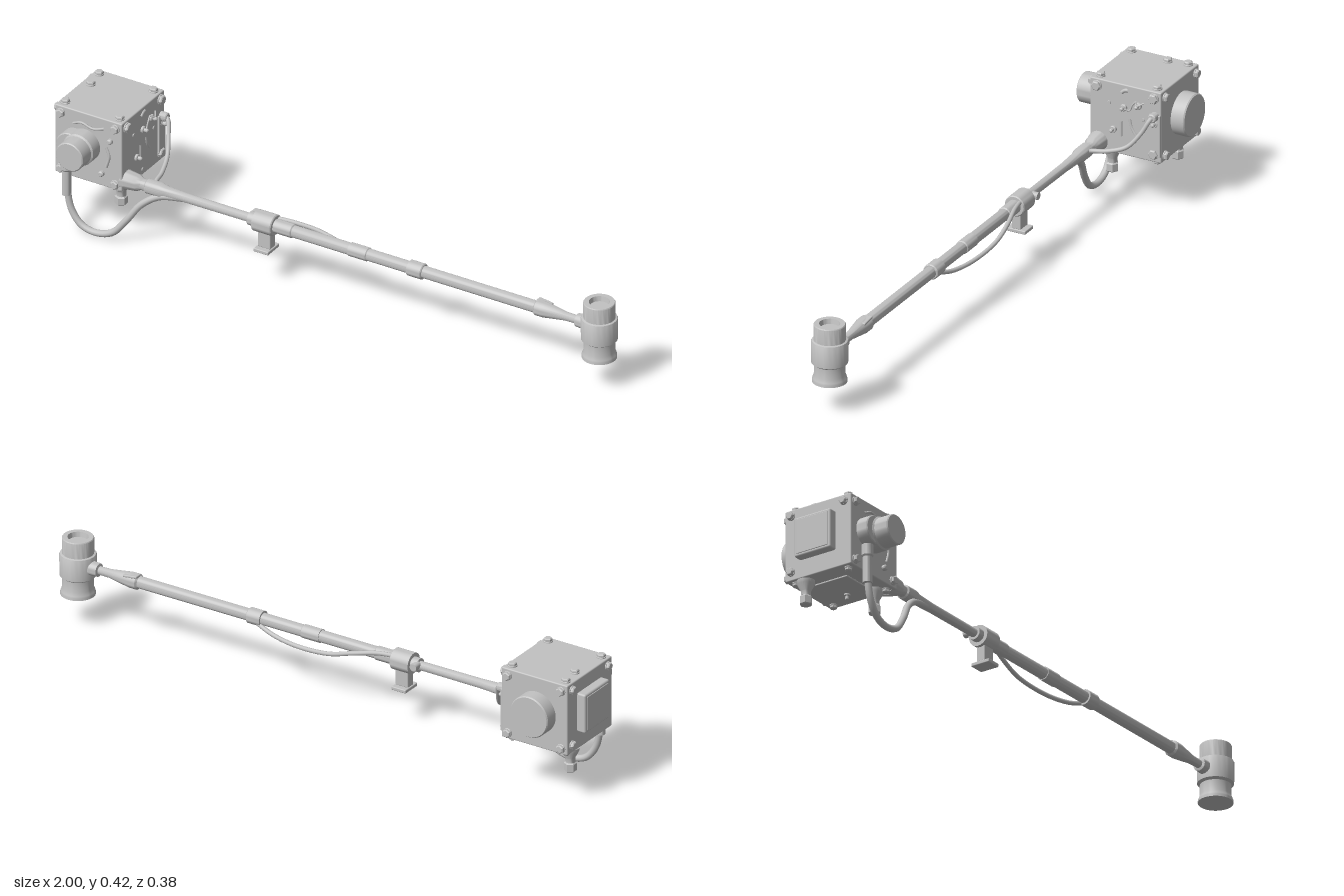
import * as THREE from 'three';
import { toCreasedNormals } from 'three/addons/utils/BufferGeometryUtils.js';
import { RoundedBoxGeometry } from 'three/addons/geometries/RoundedBoxGeometry.js';

const V = (x, y, z) => new THREE.Vector3(x, y, z);
const UP = V(0, 1, 0);
const DIR = { px: V(1, 0, 0), nx: V(-1, 0, 0), py: V(0, 1, 0), ny: V(0, -1, 0), pz: V(0, 0, 1), nz: V(0, 0, -1) };

export function createModel() {
  const root = new THREE.Group();
  const metal = new THREE.MeshStandardMaterial({ color: 0xc2c2c2 });
  metal.name = 'light grey metal';

  const add = (name, geo, parent = root) => {
    const m = new THREE.Mesh(geo, metal);
    m.name = name;
    parent.add(m);
    return m;
  };
  // turned part: [radius, distance along axis] profile, starting at pos and running along dir
  const turned = (name, profile, pos, dir, sides = 32, parent = root) => {
    const geo = new THREE.LatheGeometry(profile.map(p => new THREE.Vector2(p[0], p[1])), sides);
    const m = add(name, toCreasedNormals(geo, 0.6), parent);
    m.position.copy(pos);
    m.quaternion.setFromUnitVectors(UP, dir);
    return m;
  };
  const rod = (name, r, len, pos, dir, sides = 32, parent = root) => {
    const e = Math.min(0.003, len / 4);
    return turned(name, [[0, 0], [r, 0], [r, len - e], [r - e, len], [0, len]], pos, dir, sides, parent);
  };
  const cable = (name, r, pts, parent = root) =>
    add(name, new THREE.TubeGeometry(new THREE.CatmullRomCurve3(pts.map(p => V(...p))), 48, r, 10), parent);
  const block = (name, w, h, d, x, y, z, r = 0.003, parent = root) => {
    const m = add(name, new RoundedBoxGeometry(w, h, d, 2, r), parent);
    m.position.set(x, y, z);
    return m;
  };
  const bolt = (pos, dir, r, parent) => {
    const g = new THREE.Group();
    g.name = 'hexBolt';
    parent.add(g);
    rod('washer', r * 1.05, 0.004, pos, dir, 20, g);
    rod('boltHead', r, 0.013, pos, dir, 6, g);
  };

  // gearbox housing
  const X0 = -0.967, X1 = -0.73, Y0 = 0.17, Y1 = 0.405, Z0 = -0.145, Z1 = 0.1;
  const box = new THREE.Group();
  box.name = 'housing';
  root.add(box);
  block('housingBody', X1 - X0, Y1 - Y0, Z1 - Z0, (X0 + X1) / 2, (Y0 + Y1) / 2, (Z0 + Z1) / 2, 0.004, box);

  // corner bolts on every face
  for (const x of [-0.945, -0.753]) {
    for (const z of [-0.12, 0.075]) {
      bolt(V(x, Y1, z), DIR.py, 0.014, box);
      bolt(V(x, Y0, z), DIR.ny, 0.012, box);
    }
    for (const y of [0.19, 0.383]) {
      bolt(V(x, y, Z1), DIR.pz, 0.014, box);
      bolt(V(x, y, Z0), DIR.nz, 0.014, box);
    }
  }
  bolt(V(-0.935, Y1, -0.055), DIR.py, 0.014, box);
  for (const [y, z] of [[0.383, 0.075], [0.383, -0.121], [0.198, -0.121]]) {
    bolt(V(X1, y, z), DIR.px, 0.016, box);
    bolt(V(X0, y, z), DIR.nx, 0.013, box);
  }

  // rear drum and front drive
  turned('rearDrum', [[0, 0], [0.068, 0], [0.068, 0.042], [0.065, 0.046], [0, 0.046]], V(-0.857, 0.289, Z0), DIR.nz, 40, box);
  turned('frontDrive', [[0, 0], [0.053, 0], [0.053, 0.04], [0.048, 0.044], [0.048, 0.09], [0.045, 0.093], [0, 0.093]],
    V(-0.86, 0.297, Z1), DIR.pz, 40, box);
  rod('driveLobe', 0.046, 0.04, V(-0.893, 0.297, Z1), DIR.pz, 32, box);

  // side cover plate with raised inner panel
  block('sideCover', 0.034, 0.13, 0.134, -0.979, 0.294, -0.024, 0.006, box);
  block('sidePanel', 0.004, 0.112, 0.116, -0.996, 0.294, -0.024, 0.0015, box);

  // levelling feet and bottom fittings
  const foot = [[0, 0], [0.028, 0], [0.027, 0.012], [0.015, 0.035], [0.015, 0.05], [0, 0.05]];
  for (const [x, z] of [[-0.767, 0.043], [-0.94, -0.087]]) {
    turned('footNeck', foot, V(x, Y0, z), DIR.ny, 24, box);
    turned('footNut', [[0, 0], [0.015, 0], [0.02, 0.005], [0.02, 0.028], [0.017, 0.031], [0, 0.031]], V(x, 0.121, z), DIR.ny, 6, box);
  }
  turned('bottomStud', [[0, 0], [0.01, 0], [0.01, 0.01], [0.006, 0.012], [0.006, 0.022], [0, 0.022]],
    V(-0.8, Y0, -0.035), DIR.ny, 12, box);
  block('bottomPlate', 0.11, 0.006, 0.12, -0.85, Y0 - 0.002, -0.02, 0.002, box);

  // fittings on the arm-side face
  block('edgeStrip', 0.008, 0.14, 0.038, X1 + 0.002, 0.26, -0.125, 0.002, box);
  for (const [y, z] of [[0.33, -0.018], [0.346, -0.068], [0.25, 0.018], [0.3, -0.125]]) {
    rod('terminalBase', 0.011, 0.008, V(X1, y, z), DIR.px, 16, box);
    rod('terminalPost', 0.006, 0.022, V(X1, y, z), DIR.px, 10, box);
  }
  for (const [y, z] of [[0.335, 0.033], [0.303, -0.083], [0.19, -0.018]])
    rod('rivet', 0.006, 0.003, V(X1, y, z), DIR.px, 12, box);
  const f = X1 + 0.003;
  cable('terminalWire', 0.0025, [[f + 0.01, 0.33, -0.018], [f, 0.325, -0.038], [f, 0.345, -0.048],
    [f, 0.358, -0.06], [f + 0.01, 0.35, -0.068], [f, 0.36, -0.088]], box);
  cable('curvedRib', 0.005, [[f - 0.004, 0.296, -0.037], [f - 0.004, 0.27, -0.043], [f - 0.004, 0.246, -0.057]], box);
  cable('straightRib', 0.005, [[f - 0.004, 0.282, -0.007], [f - 0.004, 0.232, -0.007]], box);
  cable('shortRib', 0.006, [[f - 0.004, 0.378, -0.01], [f - 0.004, 0.386, -0.02], [f - 0.004, 0.389, -0.032]], box);

  // small wire and ribs on the front face
  cable('frontWire', 0.004, [[-0.9, 0.36, Z1 + 0.002], [-0.87, 0.372, Z1 + 0.005], [-0.83, 0.362, Z1 + 0.004], [-0.79, 0.374, Z1 + 0.004]], box);
  cable('frontRib', 0.005, [[-0.785, 0.31, Z1], [-0.775, 0.28, Z1], [-0.785, 0.24, Z1]], box);
  for (const [x, y] of [[-0.8, 0.215], [-0.88, 0.215], [-0.77, 0.335]])
    rod('frontTerminal', 0.009, 0.012, V(x, y, Z1), DIR.pz, 12, box);

  // boom: stepped tube with couplings and collars along x
  const AY = 0.199, AZ = 0.07;
  turned('boomTube', [[0, 0], [0.034, 0], [0.03, 0.015], [0.026, 0.05], [0.018, 0.065], [0.018, 0.08],
    [0.023, 0.084], [0.023, 0.13], [0.018, 0.15], [0.015, 0.22], [0.014, 0.47], [0.019, 0.48], [0.019, 1.455],
    [0.025, 1.46], [0.025, 1.485], [0.014, 1.56], [0.013, 1.6], [0.021, 1.602], [0.024, 1.65], [0, 1.65]],
  V(-0.74, AY, AZ), DIR.px, 28);
  for (const [name, x, len, r] of [['sleeveNeck', -0.295, 0.03, 0.022], ['clampSleeve', -0.272, 0.068, 0.034],
    ['sleeveTail', -0.21, 0.07, 0.022], ['midCollar', 0.06, 0.065, 0.0215], ['cableCollar', 0.27, 0.05, 0.025]])
    rod(name, r, len, V(x, AY, AZ), DIR.px, 28);
  block('endLatch', 0.05, 0.008, 0.025, 0.74, AY + 0.019, AZ - 0.008).rotation.z = -0.12;

  // clamp bracket under the sleeve
  rod('clampKnob', 0.012, 0.03, V(-0.292, AY + 0.005, 0.035), DIR.pz, 16);
  block('bracketStem', 0.045, 0.06, 0.03, -0.238, 0.148, AZ);
  block('bracketFoot', 0.052, 0.012, 0.066, -0.238, 0.113, AZ);

  // cables
  cable('driveCable', 0.011, [[-0.912, 0.23, 0.121], [-0.91, 0.14, 0.121], [-0.895, 0.07, 0.121], [-0.86, 0.025, 0.12],
    [-0.81, 0.012, 0.118], [-0.755, 0.028, 0.115], [-0.71, 0.08, 0.108], [-0.665, 0.143, 0.094], [-0.61, 0.18, 0.08], [-0.53, 0.195, 0.072]]);
  turned('cableGland', [[0, 0], [0.018, 0], [0.018, 0.035], [0.0145, 0.04], [0.0145, 0.125], [0, 0.128]],
    V(-0.912, 0.243, 0.122), DIR.ny, 18);
  cable('sideCable', 0.007, [[-0.735, 0.325, -0.125], [-0.705, 0.323, -0.122], [-0.688, 0.28, -0.1],
    [-0.668, 0.232, -0.06], [-0.65, 0.212, 0], [-0.64, 0.205, 0.05], [-0.61, 0.203, 0.06]]);
  rod('sideCableGland', 0.014, 0.025, V(X1, 0.325, -0.125), DIR.px, 14);
  cable('boomCable', 0.007, [[-0.22, 0.215, 0.055], [-0.16, 0.213, 0.045], [-0.08, 0.198, 0.027], [0, 0.176, 0.022],
    [0.12, 0.163, 0.032], [0.22, 0.169, 0.046], [0.29, 0.188, 0.058]]);

  // end head: flanged base, wide band and hollow top
  turned('endHead', [[0, 0], [0.054, 0], [0.054, 0.007], [0.052, 0.013], [0.048, 0.024], [0.048, 0.058], [0.056, 0.064],
    [0.057, 0.132], [0.055, 0.136], [0.049, 0.138], [0.049, 0.188], [0.047, 0.191], [0.032, 0.191], [0.029, 0.175], [0, 0.175]],
  V(0.941, 0.098, 0.074), UP, 40);
  return root;
}
